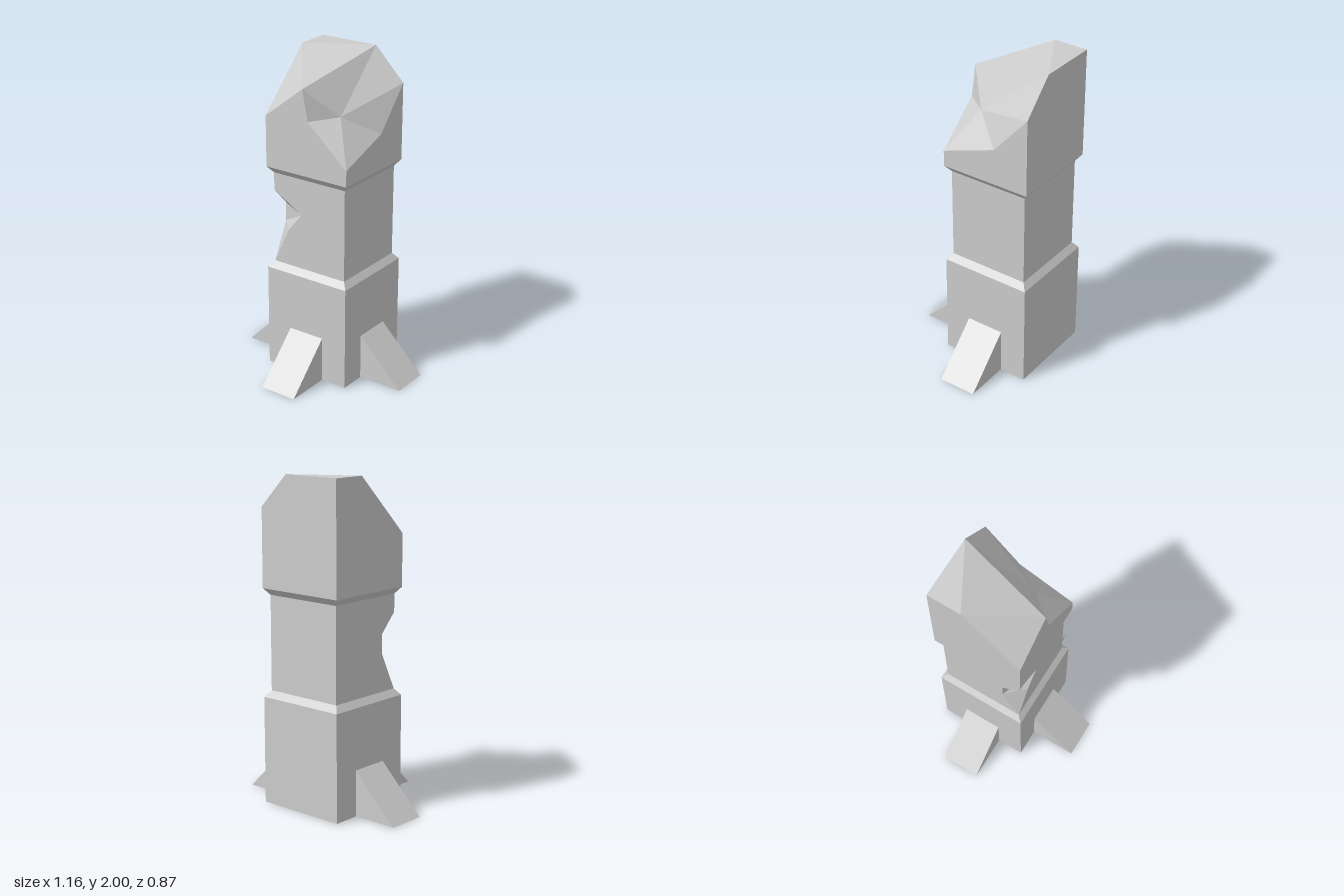
import * as THREE from 'three';

const stone = new THREE.MeshStandardMaterial({ color: 0xcccccc, flatShading: true, side: THREE.DoubleSide });
stone.name = 'stone grey';

// Mesh from flat polygons; each is fanned out from its first corner
function faceted(name, polygons) {
  const pos = [];
  for (const p of polygons) {
    for (let i = 1; i < p.length - 1; i++) pos.push(...p[0], ...p[i], ...p[i + 1]);
  }
  const geometry = new THREE.BufferGeometry();
  geometry.setAttribute('position', new THREE.Float32BufferAttribute(pos, 3));
  geometry.computeVertexNormals();
  const mesh = new THREE.Mesh(geometry, stone);
  mesh.name = name;
  return mesh;
}

// Square cross-section: front left, front right, back right, back left on screen
const ring = (y, inset = 0) => {
  const x0 = -0.295 + inset, x1 = 0.287 - inset, z0 = -0.435 + inset, z1 = 0.145 - inset;
  return [[x0, y, z1], [x1, y, z1], [x1, y, z0], [x0, y, z0]];
};

// Four side walls joining two cross-sections
const walls = (a, b) => a.map((p, i) => [p, a[(i + 1) % 4], b[(i + 1) % 4], b[i]]);

function makeShaft() {
  const b = ring(0.7, 0.032), t = ring(1.28, 0.032);
  const [x, , z] = b[0];
  // Corners of the broken notch on the front edge
  const top = [x, 1.17, z], tip = [-0.06, 1.05, z], low = [-0.156, 0.93, z];
  const sideTop = [x, 1.05, 0], sideLow = [x, 0.93, 0];
  const [, right, back] = walls(b, t);
  return faceted('shaft', [
    right, back,
    [t[1], t[0], top, tip, low, b[0], b[1]],
    [t[3], b[3], b[0], sideLow, sideTop, top, t[0]],
    [top, sideTop, tip], [sideTop, sideLow, tip], [sideLow, low, tip], [sideLow, b[0], low],
  ]);
}

function makeHead() {
  const [fl, fr, br, bl] = ring(1.32);
  const x0 = fl[0], x1 = fr[0], z0 = bl[2], z1 = fl[2];
  // Corners of the broken crown
  const peak = [-0.025, 1.85, z1], leftChip = [x0, 1.64, z1], leftTop = [x0, 2, -0.22];
  const backLeft = [x0, 2, z0], backTop = [0.09, 2, z0], backRight = [x1, 1.8, z0];
  const sideDip = [x1, 1.545, -0.21], frontLow = [x1, 1.42, z1], frontDip = [0.012, 1.66, z1];
  const hollow = [0.135, 1.672, -0.012];
  return faceted('brokenHead', [
    [fl, fr, frontLow, frontDip, peak, leftChip],
    [br, backRight, sideDip, frontLow, fr],
    [br, bl, backLeft, backTop, backRight],
    [bl, fl, leftChip, leftTop, backLeft],
    [leftChip, peak, leftTop], [leftTop, peak, backTop], [backLeft, leftTop, backTop],
    [hollow, peak, frontDip, frontLow, sideDip, backRight, backTop, peak],
  ]);
}

// Sloped foot, open underneath and against the wall, pointing along +z
function makeButtress(name, x, z, turn) {
  const w = 0.121, h = 0.287, d = 0.29;
  const side = (s) => [[s * w, 0, 0], [s * w, 0, d], [s * w, h, 0]];
  const l = side(-1), r = side(1);
  const foot = faceted(name, [l, [r[1], r[0], r[2]], [l[1], r[1], r[2], l[2]]]);
  foot.position.set(x, 0, z);
  foot.rotation.y = turn;
  return foot;
}

export function createModel() {
  const model = new THREE.Group();
  model.name = 'brokenPillar';
  model.add(
    faceted('base', walls(ring(0), ring(0.66))),
    faceted('lowerBevel', walls(ring(0.66), ring(0.7, 0.032))),
    makeShaft(),
    faceted('upperBevel', walls(ring(1.28, 0.032), ring(1.32))),
    makeHead(),
    makeButtress('frontButtress', -0.004, 0.145, 0),
    makeButtress('leftButtress', 0.287, -0.145, Math.PI / 2),
    makeButtress('rightButtress', -0.292, -0.145, -Math.PI / 2),
  );
  return model;
}
